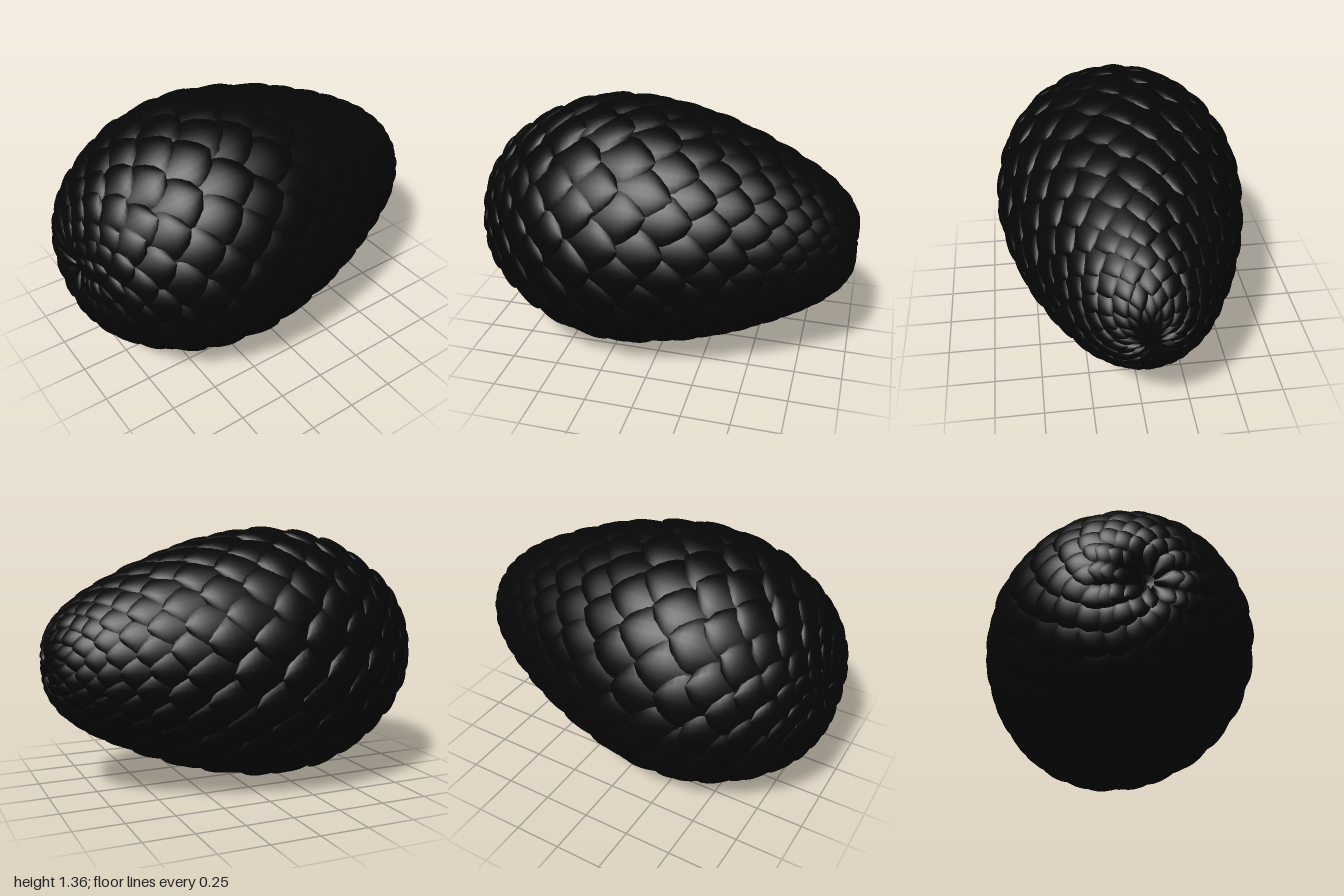
import * as THREE from 'three';
import { mergeGeometries } from 'three/addons/utils/BufferGeometryUtils.js';

const AXIS_Y = 0.68; // height of the long axis

// Egg outline as (radius, z), from the blunt front to the narrow back
const outline = new THREE.CatmullRomCurve3([
  [0, 0.96], [0.08, 0.985], [0.2, 0.995], [0.38, 0.905], [0.49, 0.79], [0.605, 0.6], [0.672, 0.38], [0.682, 0.12],
  [0.655, -0.05], [0.61, -0.24], [0.54, -0.44], [0.46, -0.62], [0.34, -0.83], [0.23, -0.95], [0.13, -1], [0, -1],
].map(([r, z]) => new THREE.Vector3(r, z, 0)), false, 'centripetal');
outline.arcLengthDivisions = 600;
const LENGTH = outline.getLength();

// Small seeded generator for the uneven growth of the scales, -1 to 1
let seed = 7;
function jitter() {
  seed = (seed * 16807) % 2147483647;
  return (seed / 2147483647) * 2 - 1;
}

// Point at arc length s, moved along the outward normal by h
function surface(s, h) {
  const t = THREE.MathUtils.clamp(s / LENGTH, 0, 1);
  const p = outline.getPointAt(t), d = outline.getTangentAt(t);
  return { r: Math.max(0, p.x - d.y * h), z: p.y + d.x * h };
}

// One domed, pointed scale that follows the egg and overlaps the next row
function scaleGeometry(s0, len, angle, halfAngle, skew, tilt) {
  const nu = 8, nv = 9, pos = [], index = [];
  for (let j = 0; j <= nv; j++) {
    const v = j / nv;
    const width = v < 0.55 ? 0.7 + 0.3 * Math.sin((v / 0.55) * Math.PI / 2)
      : Math.pow(Math.max(0, 1 - ((v - 0.55) / 0.45) ** 1.7), 0.8);
    for (let i = 0; i <= nu; i++) {
      const u = (i / nu) * 2 - 1;
      const side = (0.1 * u * u + 0.04 * u ** 4) * Math.min(1, width * 1.3);
      const h = len * (0.035 - 0.17 * (1 - v) ** 1.2 - 0.09 * v ** 5 - side + tilt * u * width);
      const { r, z } = surface(s0 + v * len, h);
      const a = angle + (u * width + skew * v) * halfAngle;
      pos.push(r * Math.cos(a), r * Math.sin(a), z);
      if (i < nu && j < nv) {
        const k = j * (nu + 1) + i, m = k + nu + 1;
        index.push(k, m, k + 1, k + 1, m, m + 1);
      }
    }
  }
  const g = new THREE.BufferGeometry();
  g.setAttribute('position', new THREE.Float32BufferAttribute(pos, 3));
  g.setIndex(index);
  g.computeVertexNormals();
  return g;
}

export function createModel() {
  const black = new THREE.MeshStandardMaterial({ color: 0x060606, side: THREE.DoubleSide });
  black.name = 'charcoal black';
  const model = new THREE.Group();
  model.name = 'scaledEgg';

  // Inner shell seen between the scales
  const profile = [];
  for (let i = 40; i >= 0; i--) {
    const { r, z } = surface((i / 40) * LENGTH, -0.04);
    profile.push(new THREE.Vector2(i === 0 || i === 40 ? 0 : r, z));
  }
  const core = new THREE.Mesh(new THREE.LatheGeometry(profile, 48), black);
  core.name = 'eggShell';
  core.rotation.x = Math.PI / 2;
  core.position.y = AXIS_Y;
  model.add(core);

  // Staggered rings of scales, tips toward the narrow end
  let s = 0.02;
  for (let row = 0; row < 60; row++) {
    const step = Math.max(0.06, 0.18 * surface(s + 0.1, 0).r);
    const len = step * 2.5;
    if (s + len > LENGTH - 0.02) break;
    const count = Math.min(14, 8 + row * 2); // fewer, broader scales at the blunt centre
    const scales = [];
    for (let i = 0; i < count; i++) {
      const angle = Math.PI / 2 + ((i + (row % 2) / 2 + 0.06 * jitter()) / count) * Math.PI * 2;
      const start = s + 0.12 * step * jitter();
      scales.push(scaleGeometry(start, len, angle, 1.22 * Math.PI / count, 0.15 * jitter(), 0.03 * jitter()));
    }
    const ring = new THREE.Mesh(mergeGeometries(scales), black);
    ring.name = `scaleRing${row + 1}`;
    ring.position.y = AXIS_Y;
    model.add(ring);
    s += step;
  }
  return model;
}
